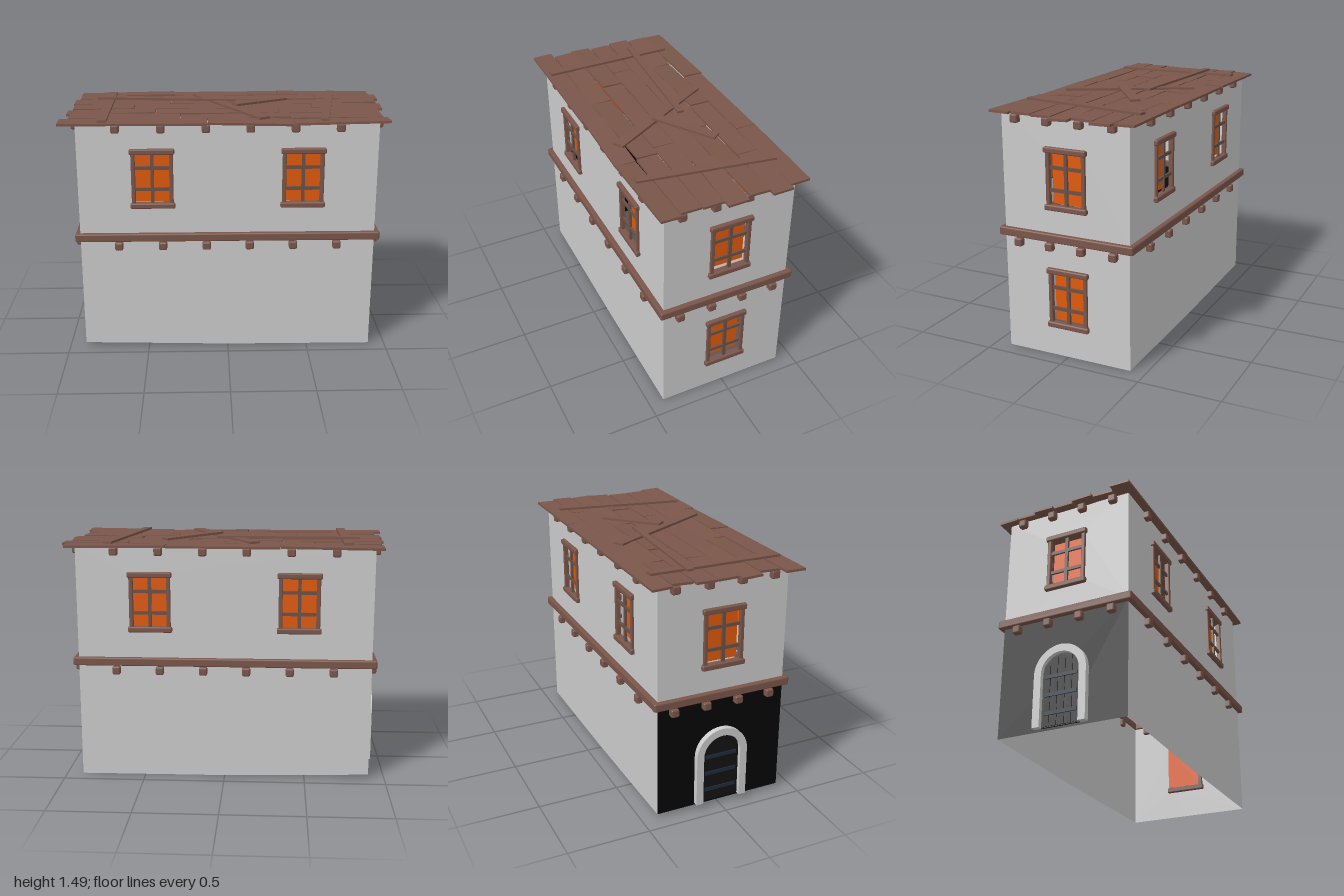
import * as THREE from 'three';
import { RoundedBoxGeometry } from 'three/addons/geometries/RoundedBoxGeometry.js';

const mat = (color, side = THREE.FrontSide) => new THREE.MeshStandardMaterial({ color, side });
const plaster = mat(0xcccccc, THREE.DoubleSide);
const black = mat(0x050505, THREE.DoubleSide);
const stone = mat(0xcccccc);
const wood = mat(0x7a564a);
const barWood = mat(0x6b5248);
const glow = mat(0xe05a0c, THREE.DoubleSide);
const doorWood = mat(0x121212);
const iron = mat(0x1d2c3c);

const HX = 0.9, HZ = 0.405, TOP = 1.445, BELT = 0.74;

function add(parent, name, geometry, material, x = 0, y = 0, z = 0) {
  const mesh = new THREE.Mesh(geometry, material);
  mesh.name = name;
  mesh.position.set(x, y, z);
  parent.add(mesh);
  return mesh;
}

const beam = (w, h, d, r = 0.008) => new RoundedBoxGeometry(w, h, d, 1, r);

// Flat wall panel with rectangular window openings
function wallPanel(points, windows) {
  const shape = new THREE.Shape(points.map(p => new THREE.Vector2(...p)));
  for (const [x, y] of windows) {
    shape.holes.push(new THREE.Path([
      [x - 0.112, y - 0.16], [x - 0.112, y + 0.16], [x + 0.112, y + 0.16], [x + 0.112, y - 0.16],
    ].map(p => new THREE.Vector2(...p))));
  }
  return new THREE.ShapeGeometry(shape);
}

// Window: recessed pane, posts, sill, lintel and glazing bars
function makeWindow(x, y) {
  const g = new THREE.Group();
  g.name = 'window';
  g.position.set(x, y, 0);
  add(g, 'pane', new THREE.PlaneGeometry(0.224, 0.32), glow, 0, 0, -0.045);
  for (const s of [-1, 1]) {
    add(g, 'framePost', beam(0.024, 0.34, 0.03, 0.005), wood, s * 0.114, 0, 0);
    add(g, s > 0 ? 'lintel' : 'sill', beam(0.27, 0.034, 0.045), wood, 0, s * 0.168, 0.002);
    add(g, 'crossBar', new THREE.BoxGeometry(0.22, 0.02, 0.012), barWood, 0, s * 0.066, 0);
  }
  add(g, 'centreBar', new THREE.BoxGeometry(0.02, 0.32, 0.014), barWood);
  return g;
}

// One side of the house; local +z points outward
function makeFacade(name, angle, distance, half, bottomL, bottomM, bottomR, windows, joists, lowerMat) {
  const g = new THREE.Group();
  g.name = name;
  g.rotation.y = angle;
  const face = new THREE.Group();
  face.position.z = distance;
  g.add(face);
  const upper = windows.filter(w => w[1] > BELT), lower = windows.filter(w => w[1] < BELT);
  add(face, 'upperWall', wallPanel([[-half, BELT], [half, BELT], [half, TOP], [-half, TOP]], upper), plaster);
  add(face, 'lowerWall', wallPanel(
    [[-half, bottomL], [0, bottomM], [half, bottomR], [half, BELT], [-half, BELT]], lower), lowerMat);
  windows.forEach(([x, y]) => face.add(makeWindow(x, y)));
  add(face, 'beltBeam', beam(half * 2 + 0.055, 0.05, 0.04), wood, 0, BELT, 0.01);
  for (const x of joists) {
    for (const y of [0.685, 1.42]) add(face, 'joistEnd', beam(0.05, 0.05, 0.06, 0.01), wood, x, y, 0.006);
  }
  return g;
}

// Arched stone surround with a plank door
function makeDoor() {
  const g = new THREE.Group();
  g.name = 'door';
  const arch = (s, r, y0) => {
    s.moveTo(-r, y0);
    s.lineTo(-r, 0.355);
    s.absarc(0, 0.355, r, Math.PI, 0, true);
    s.lineTo(r, y0);
    s.closePath();
    return s;
  };
  const surround = new THREE.Shape();
  surround.moveTo(-0.165, 0.04);
  surround.lineTo(-0.165, 0.355);
  surround.absarc(0, 0.355, 0.165, Math.PI, 0, true);
  surround.lineTo(0.165, 0.04);
  surround.lineTo(0.12, 0.04);
  surround.lineTo(0.12, 0.355);
  surround.absarc(0, 0.355, 0.12, 0, Math.PI, false);
  surround.lineTo(-0.12, 0.04);
  add(g, 'stoneArch', new THREE.ExtrudeGeometry(surround, { depth: 0.035, bevelEnabled: false, curveSegments: 10 }), stone);
  add(g, 'doorLeaf', new THREE.ExtrudeGeometry(arch(new THREE.Shape(), 0.12, 0.04),
    { depth: 0.008, bevelEnabled: false, curveSegments: 10 }), doorWood);
  for (let i = -2; i <= 2; i++) {
    const h = 0.3 + Math.sqrt(0.0144 - (i * 0.046) ** 2);
    add(g, 'doorPlank', new THREE.BoxGeometry(0.04, h, 0.012), doorWood, i * 0.046, 0.045 + h / 2, 0.006);
  }
  for (const y of [0.12, 0.23, 0.34]) add(g, 'doorStrap', new THREE.BoxGeometry(0.2, 0.022, 0.006), iron, 0, y, 0.015);
  return g;
}

// Board laid between two points
function board(parent, name, a, b, width, thick) {
  const from = new THREE.Vector3(...a), to = new THREE.Vector3(...b);
  const dir = to.clone().sub(from);
  const m = add(parent, name, new THREE.BoxGeometry(dir.length(), thick, width), wood);
  m.position.copy(from).add(to).multiplyScalar(0.5);
  m.rotation.order = 'YZX';
  m.rotation.y = Math.atan2(-dir.z, dir.x);
  m.rotation.z = Math.asin(dir.y / dir.length());
  return m;
}

function makeRoof() {
  const g = new THREE.Group();
  g.name = 'roof';
  // Plank rows: z start, z end, then plank joints along x
  const rows = [
    [-0.462, -0.338, [-0.95, -0.335, 0.35, 0.96]],
    [-0.336, -0.208, [-0.94, -0.54, 0, 0.59, 0.995]],
    [-0.204, -0.075, [-0.965, -0.35, 0.23, 0.96]],
    [-0.071, 0.056, [-0.955, -0.575, 0.535, 0.98]],
    [0.06, 0.19, [-0.98, -0.435, 0.32, 0.94]],
    [0.195, 0.326, [-0.95, -0.28, 0.38, 0.935]],
    [0.33, 0.455, [-1, -0.12, 0.39, 0.96]],
  ];
  rows.forEach(([z0, z1, xs], r) => {
    for (let i = 0; i + 1 < xs.length; i++) {
      const z = (z0 + z1) / 2, skew = ((r * 3 + i * 5) % 4 - 1.5) * 0.003;
      const m = board(g, 'roofPlank', [xs[i] + 0.002, 1.452 + skew, z - skew],
        [xs[i + 1] - 0.002, 1.452 - skew, z + skew], z1 - z0 - 0.002, 0.014);
      m.rotation.x = skew * 8;
    }
  });
  // Loose boards thrown across the planks
  board(g, 'looseBoard', [-0.74, 1.467, -0.385], [-0.74, 1.467, 0.43], 0.055, 0.014);
  board(g, 'looseBoard', [-0.82, 1.481, -0.17], [0.06, 1.476, -0.115], 0.04, 0.014);
  board(g, 'looseBoard', [-0.18, 1.466, -0.33], [0.22, 1.468, 0.37], 0.07, 0.014);
  board(g, 'looseBoard', [0.05, 1.484, 0.06], [0.38, 1.468, -0.19], 0.06, 0.014);
  board(g, 'looseBoard', [0.705, 1.468, -0.39], [0.57, 1.468, 0.42], 0.05, 0.014);
  return g;
}

export function createModel() {
  const house = new THREE.Group();
  house.name = 'house';
  const longJoists = [-0.665, -0.397, -0.13, 0.134, 0.4, 0.668];
  const shortJoists = [-0.307, -0.102, 0.102, 0.307];
  const longWindows = [[-0.453, 1.11], [0.453, 1.11]];
  const q = Math.PI / 2;

  house.add(makeFacade('frontSide', 0, HZ, HX, 0.025, 0.003, 0, longWindows, longJoists, plaster));
  house.add(makeFacade('backSide', Math.PI, HZ, HX, 0, 0.003, 0.025, longWindows, longJoists, plaster));
  house.add(makeFacade('leftSide', q, HX, HZ, 0, 0, 0, [[0.008, 1.09], [0.008, 0.367]], shortJoists, plaster));
  const doorSide = makeFacade('rightSide', -q, HX, HZ, 0.025, 0.025, 0.025, [[0, 1.09]], shortJoists, black);
  doorSide.children[0].add(makeDoor());
  house.add(doorSide);
  house.add(makeRoof());
  return house;
}
